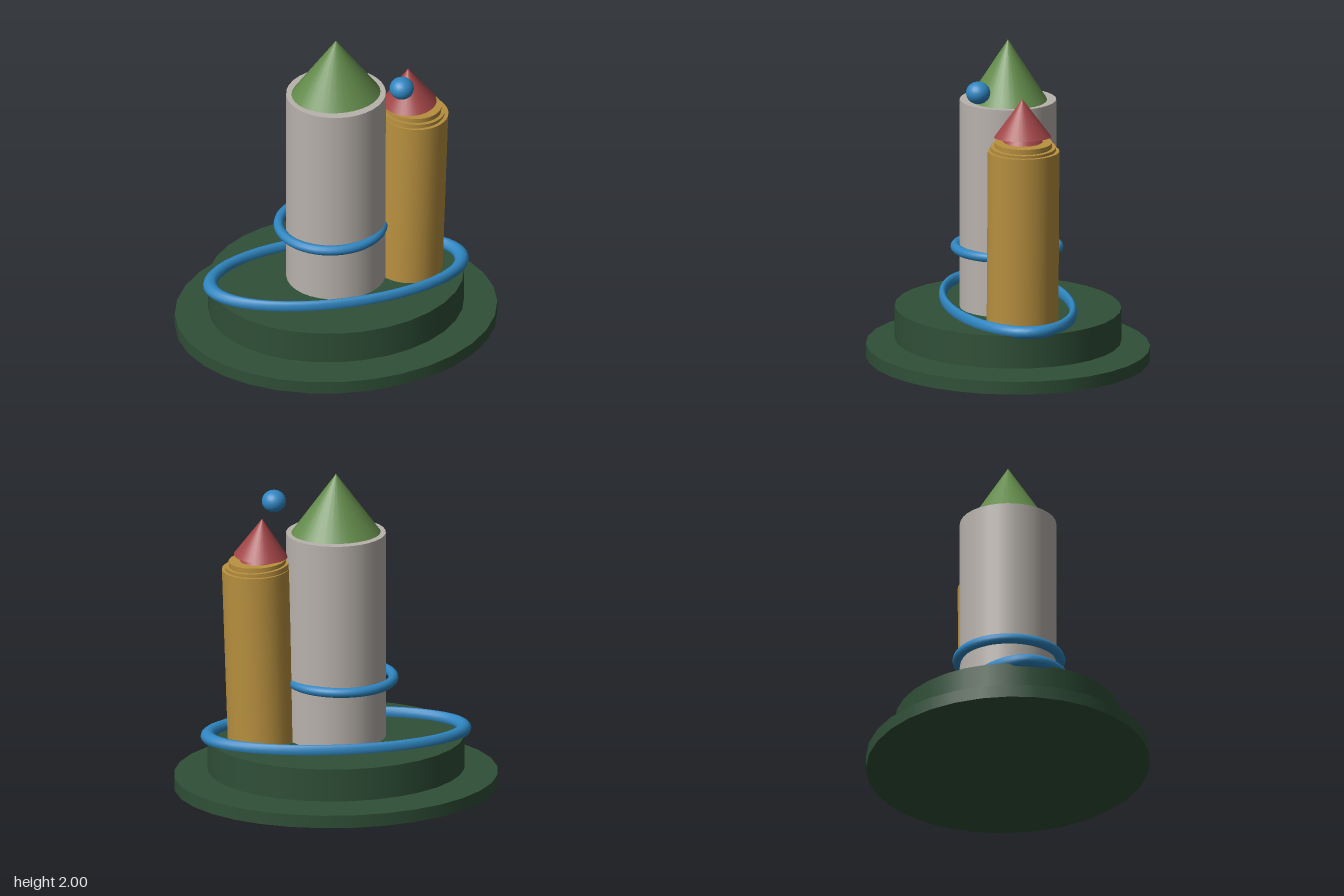
import * as THREE from 'three';

const paint = (name, color) => {
  const m = new THREE.MeshStandardMaterial({ color });
  m.name = name;
  return m;
};

export function createModel() {
  const model = new THREE.Group();
  const darkGreen = paint('dark green', 0x2f4f37);
  const stone = paint('warm grey', 0xb8b2ac);
  const leaf = paint('leaf green', 0x628a4a);
  const ochre = paint('ochre', 0xb8903f);
  const red = paint('brick red', 0xa04446);
  const blue = paint('blue', 0x2f86c1);

  const add = (parent, name, geometry, material, x = 0, y = 0, z = 0, tilt = 0) => {
    const mesh = new THREE.Mesh(geometry, material);
    mesh.name = name;
    mesh.position.set(x, y, z);
    mesh.rotation.z = tilt;
    parent.add(mesh);
    return mesh;
  };
  // Elliptical drum or cone standing between two heights
  const drum = (rx, rz, y0, y1, top = 1) =>
    new THREE.CylinderGeometry(top, 1, y1 - y0, 32)
      .scale(rx, 1, rz).translate(0, (y0 + y1) / 2, 0);
  // Flat-lying ring, with an optional squash in depth
  const ring = (radius, tube, squashY, squashZ) =>
    new THREE.TorusGeometry(radius, tube, 12, 48)
      .rotateX(Math.PI / 2).scale(1, squashY, squashZ);

  // Two separate oval base plates
  add(model, 'lowerBase', drum(0.995, 0.865, 0, 0.08), darkGreen);
  add(model, 'upperBase', drum(0.79, 0.69, 0.115, 0.32), darkGreen);

  // Main tower and its pointed roof
  add(model, 'mainTower', drum(0.306, 0.295, 0.3, 1.625), stone);
  add(model, 'mainRoof', drum(0.277, 0.24, 1.622, 2, 0), leaf);

  // Leaning side tower with stepped top
  const side = new THREE.Group();
  side.name = 'sideTower';
  side.position.set(0.46, 0.32, 0);
  side.rotation.z = -0.033;
  model.add(side);
  add(side, 'sideShaft', drum(0.207, 0.22, -0.02, 1.095), ochre);
  add(model, 'lowerCollar', drum(0.195, 0.2, -0.03, 0.03), ochre, 0.485, 1.41, 0, -0.08);
  add(model, 'upperCollar', drum(0.175, 0.177, -0.03, 0.03), ochre, 0.485, 1.438, 0, -0.05);

  // Stacked red cones
  add(model, 'innerRoof', drum(0.16, 0.16, 0, 0.24, 0), red, 0.465, 1.41, 0, 0.04);
  add(model, 'sideRoof', drum(0.165, 0.175, 0, 0.235, 0), red, 0.465, 1.495, 0, 0.04);

  // Rings and floating ball
  add(model, 'baseRing', ring(0.79, 0.045, 0.89, 0.478), blue, 0, 0.34, 0);
  add(model, 'towerRing', ring(0.32, 0.031, 1, 0.985), blue, -0.033, 0.69, 0);
  add(model, 'ball', new THREE.SphereGeometry(0.075, 20, 14).scale(1, 0.92, 1),
    blue, 0.35, 1.757, 0.255);

  return model;
}
